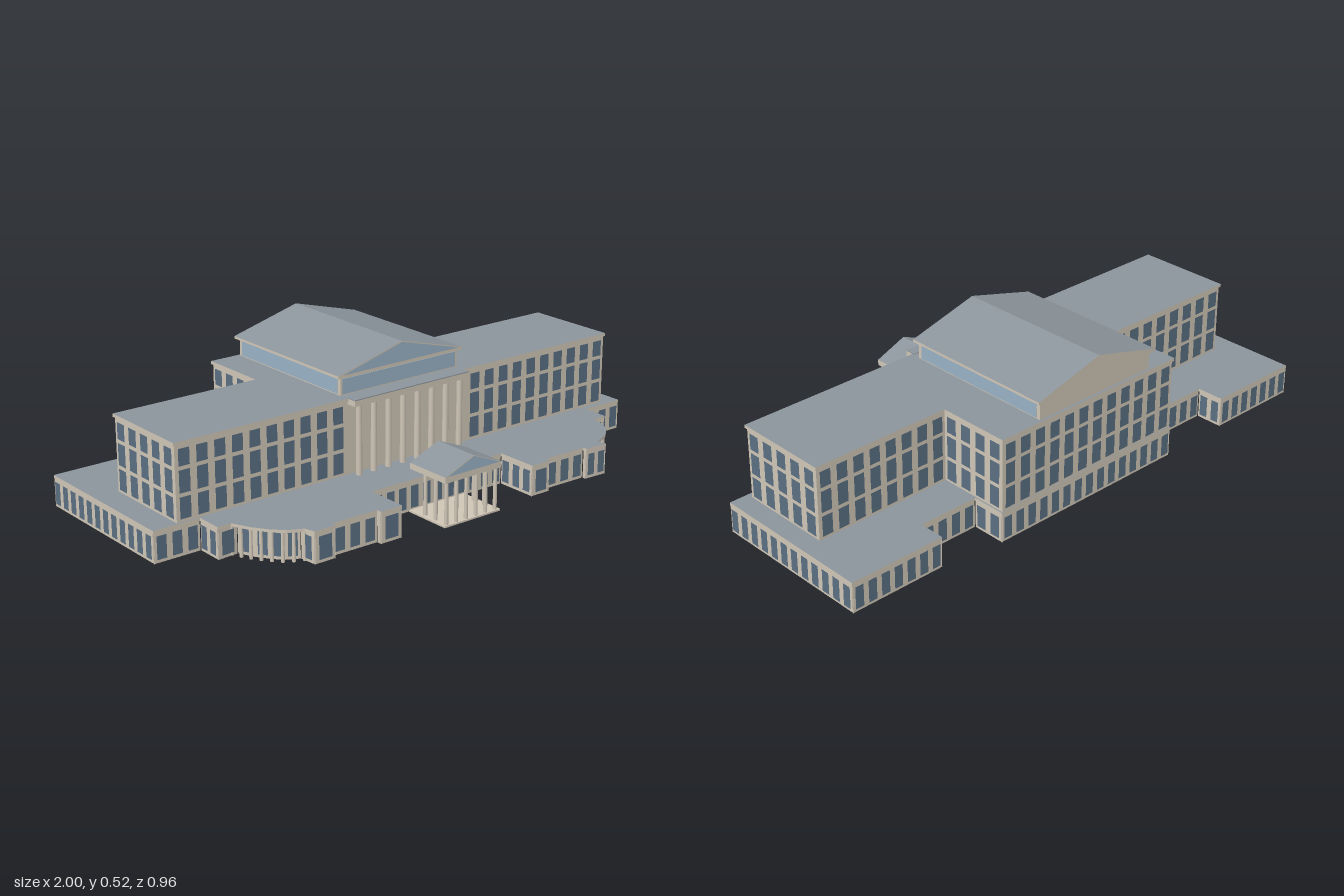
import * as THREE from 'three';
import { mergeGeometries } from 'three/addons/utils/BufferGeometryUtils.js';

const mat = (name, color, side = THREE.FrontSide) => {
  const m = new THREE.MeshStandardMaterial({ color, side });
  m.name = name;
  return m;
};

export function createModel() {
  const stone = mat('stone', 0xcfc5b6, THREE.DoubleSide);
  const slate = mat('slate roof', 0x8b949b);
  const pane = mat('window glass', 0x5a6f82);
  const skylight = mat('pale glass', 0x98b1c5);
  const model = new THREE.Group();
  model.name = 'building';

  const add = (name, geo, material, x = 0, y = 0, z = 0) => {
    const mesh = new THREE.Mesh(geo, material);
    mesh.name = name;
    mesh.position.set(x, y, z);
    model.add(mesh);
    return mesh;
  };
  // Box given by its limits
  const box = (name, x0, x1, y0, y1, z0, z1, material = stone) =>
    add(name, new THREE.BoxGeometry(x1 - x0, y1 - y0, z1 - z0), material,
      (x0 + x1) / 2, (y0 + y1) / 2, (z0 + z1) / 2);
  // Plan outline [x, z] raised into a solid
  const slab = (name, pts, y, h, materials) => {
    const shape = new THREE.Shape(pts.map(([x, z]) => new THREE.Vector2(x, -z)));
    const geo = new THREE.ExtrudeGeometry(shape, { depth: h, bevelEnabled: false });
    return add(name, geo.rotateX(-Math.PI / 2), materials, 0, y, 0);
  };
  // Edges of an outline with their outward normals
  const edges = (pts) => pts.map((a, i) => {
    const b = pts[(i + 1) % pts.length];
    const dx = b[0] - a[0], dz = b[1] - a[1], len = Math.hypot(dx, dz);
    return { a, dx, dz, len, nx: dz / len, nz: -dx / len };
  });
  const offset = (pts, d) => {
    const e = edges(pts);
    return pts.map(([x, z], i) => {
      const p = e[(i + pts.length - 1) % pts.length], q = e[i];
      return [x + d * (p.nx + q.nx), z + d * (p.nz + q.nz)];
    });
  };
  // Upright plane at fraction t along an edge
  const plate = (e, t, w, y0, y1, out) => new THREE.PlaneGeometry(w, y1 - y0)
    .rotateY(Math.atan2(e.nx, e.nz))
    .translate(e.a[0] + e.dx * t + e.nx * out, (y0 + y1) / 2, e.a[1] + e.dz * t + e.nz * out);
  const windows = (name, pts, rows, pitch, fill, skip = () => false) => {
    const list = [];
    for (const e of edges(pts)) {
      const n = Math.floor((e.len + 0.012) / pitch);
      for (let i = 0; i < n; i++) {
        const t = (i + 0.5) / n;
        if (skip(e.a[0] + e.dx * t, e.a[1] + e.dz * t)) continue;
        for (const [y0, y1] of rows) list.push(plate(e, t, (e.len / n) * fill, y0, y1, 0.002));
      }
    }
    add(name, mergeGeometries(list), pane);
  };
  const column = (name, x, z, y0, y1, r) =>
    add(name, new THREE.CylinderGeometry(r * 0.9, r, y1 - y0, 12), stone, x, (y0 + y1) / 2, z);
  // Gabled roof with its ridge along z, glazed at the front
  const gable = (name, cx, half, y0, y1, z0, z1) => {
    const tri = (s) => new THREE.Shape([
      new THREE.Vector2(-half * s, 0), new THREE.Vector2(half * s, 0), new THREE.Vector2(0, (y1 - y0) * s)]);
    add(name, new THREE.ExtrudeGeometry(tri(1), { depth: z1 - z0, bevelEnabled: false }), [stone, slate], cx, y0, z0);
    add(name + 'Glass', new THREE.ShapeGeometry(tri(0.94)), skylight, cx, y0 + 0.001, z1 + 0.002);
  };

  // Ground floor: open-bottomed walls under a flat roof, bays set back behind columns
  const bayL = [[0.775, 0.25], [0.77, 0.275], [0.755, 0.32], [0.73, 0.357], [0.685, 0.395], [0.62, 0.425]];
  const bayR = [[-0.63, 0.41], [-0.68, 0.385], [-0.715, 0.35], [-0.75, 0.3], [-0.78, 0.235]];
  const inset = (bay, cx) => bay.map(([x, z]) => {
    const d = Math.hypot(x - cx, z - 0.2);
    return [x - 0.026 * (x - cx) / d, z - 0.026 * (z - 0.2) / d];
  });
  const plan = (left, right) => [
    [-1, -0.47], [-0.64, -0.47], [-0.64, -0.37], [-0.365, -0.37], [-0.365, -0.478], [0.42, -0.478],
    [0.42, -0.355], [0.645, -0.355], [0.645, -0.45], [1, -0.45], [1, 0.155], [0.83, 0.155], [0.83, 0.25],
    ...left,
    [0.625, 0.458], [0.535, 0.453], [0.535, 0.438], [0.36, 0.435], [0.36, 0.455], [0.28, 0.455], [0.28, 0.302],
    [-0.28, 0.3], [-0.28, 0.452], [-0.365, 0.452], [-0.365, 0.433], [-0.54, 0.43], [-0.54, 0.448], [-0.62, 0.448],
    ...right,
    [-0.83, 0.235], [-0.83, 0.138], [-1, 0.138]];
  const wallPlan = plan(inset(bayL, 0.6), inset(bayR, -0.6));
  add('groundFloorWalls', mergeGeometries(edges(wallPlan).map((e) => plate(e, 0.5, e.len, 0, 0.105, -0.002))), stone);
  slab('groundFloorRoof', plan(bayL, bayR), 0.1, 0.01, [slate, stone]);
  windows('groundFloorWindows', wallPlan, [[0.012, 0.09]], 0.05, 0.62);

  // Columns round the two corner bays
  for (const [bay, s] of [[bayL, 1], [bayR, -1]]) {
    const curve = new THREE.CatmullRomCurve3(bay.map(([x, z]) => new THREE.Vector3(x - s * 0.006, 0, z - 0.008)));
    curve.getSpacedPoints(7).forEach((p) => column('bayColumn', p.x, p.z, 0, 0.1, 0.006));
  }

  // Upper floors with cornice
  const upper = [[-0.91, -0.21], [-0.36, -0.21], [-0.36, -0.475], [0.415, -0.475],
    [0.415, -0.21], [0.93, -0.21], [0.93, 0.132], [-0.91, 0.132]];
  slab('upperWalls', upper, 0.105, 0.26, stone);
  slab('upperRoof', offset(upper, 0.005), 0.363, 0.011, [slate, stone]);
  windows('upperWindows', upper, [[0.12, 0.192], [0.205, 0.28], [0.293, 0.35]], 0.064, 0.62,
    (x, z) => z > 0.1 && Math.abs(x) < 0.275);

  // Tall portico
  box('porticoEntablature', -0.245, 0.245, 0.353, 0.373, 0.13, 0.17);
  box('porticoRoof', -0.245, 0.245, 0.373, 0.376, 0.13, 0.17, slate);
  for (let i = 0; i < 8; i++) column('porticoColumn', -0.217 + i * 0.062, 0.155, 0.11, 0.353, 0.011);

  // Glazed attic with gabled roof
  box('attic', -0.25, 0.25, 0.37, 0.438, -0.47, 0.1);
  box('atticCornice', -0.265, 0.265, 0.436, 0.445, -0.48, 0.11);
  for (const s of [-1, 1]) box('atticSideGlass', s * 0.25 - 0.002, s * 0.25 + 0.002, 0.378, 0.43, -0.455, 0.085, skylight);
  box('atticFrontGlass', -0.242, 0.242, 0.378, 0.43, 0.098, 0.102, skylight);
  gable('atticRoof', 0, 0.265, 0.445, 0.516, -0.48, 0.11);

  // Entrance porch
  box('porchFloor', -0.125, 0.115, 0, 0.006, 0.3, 0.48);
  box('porchEntablature', -0.125, 0.115, 0.152, 0.173, 0.305, 0.48);
  gable('porchRoof', -0.005, 0.12, 0.173, 0.222, 0.305, 0.48);
  for (let i = 0; i < 6; i++) column('porchColumn', -0.11 + i * 0.042, 0.469, 0.006, 0.152, 0.007);
  for (const x of [-0.11, 0.1]) for (const z of [0.417, 0.365]) column('porchColumn', x, z, 0.006, 0.152, 0.007);

  return model;
}
